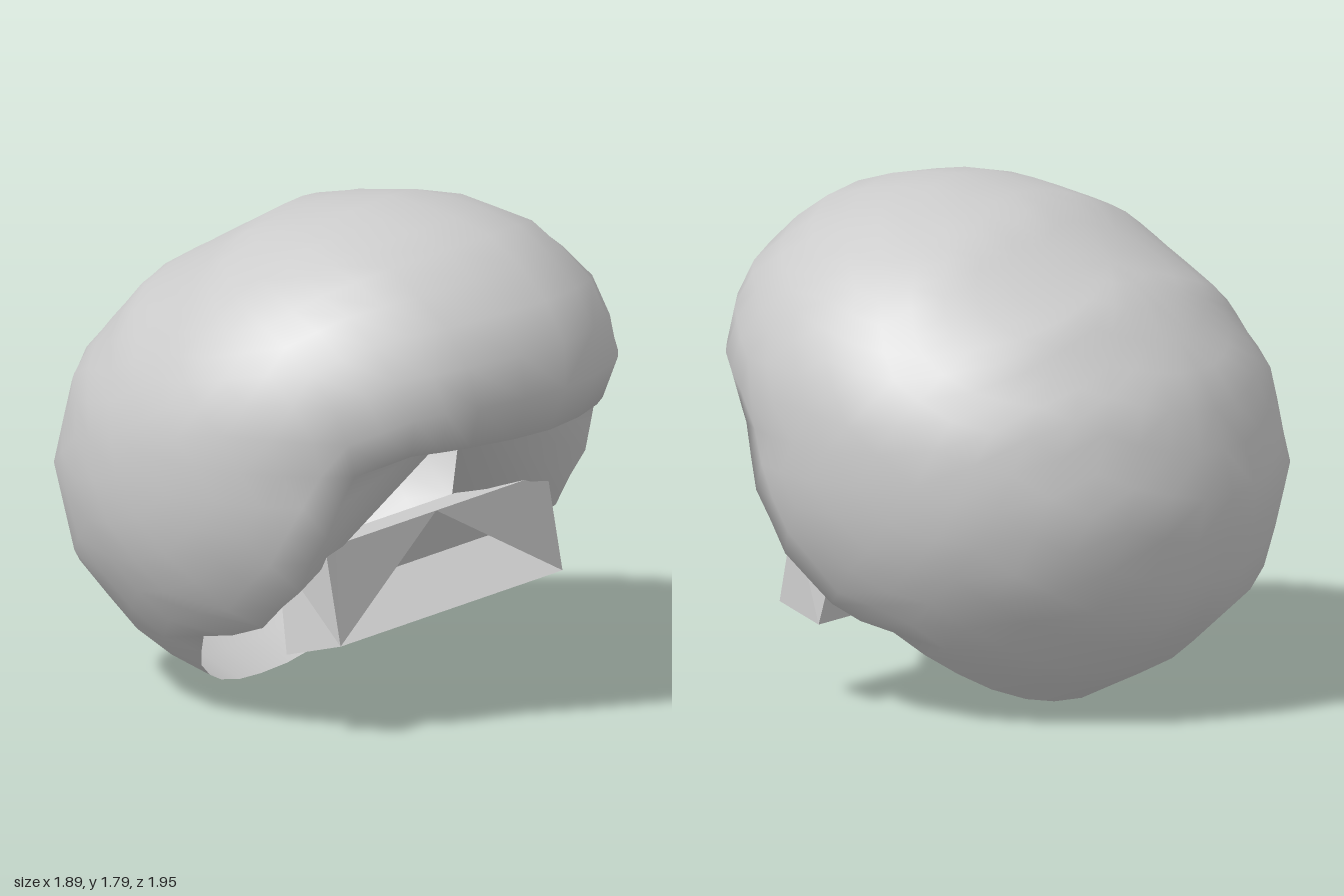
import * as THREE from 'three';
import { mergeVertices } from 'three/addons/utils/BufferGeometryUtils.js';

const material = new THREE.MeshStandardMaterial({ color: 0xcccccc, side: THREE.DoubleSide });
const flatMaterial = new THREE.MeshStandardMaterial({ color: 0xcccccc, side: THREE.DoubleSide, flatShading: true });

const HALF_WIDTH = 0.945;
const CENTRE_Y = 0.97;

// Middle section of the whole dome as [z, y]; the last three close it across the opening
const section = [
  [0.9, 1.05], [1.0, 1.29], [0.85, 1.56], [0.6, 1.73], [0.25, 1.79], [-0.15, 1.73],
  [-0.63, 1.46], [-0.9, 1.16], [-1.0, 0.76], [-0.88, 0.37], [-0.6, 0.13], [-0.33, 0],
  [0.2, 0.04], [0.6, 0.28], [0.85, 0.64],
].map(([z, y]) => [z, y - CENTRE_Y]);

// Rim of the opening seen from the side as [z, y], from brow to nape
const rim = [
  [0.9, 1.05], [0.83, 1.052], [0.72, 1.045], [0.58, 0.98], [0.5, 0.76], [0.38, 0.55],
  [0.2, 0.39], [-0.06, 0.32], [-0.2, 0.16], [-0.3, 0.04], [-0.33, 0],
];

// Distance from the centre to the section along the direction (z, y)
function sectionRadius(z, y) {
  for (let i = 0; i < section.length; i++) {
    const [az, ay] = section[i], [bz, by] = section[(i + 1) % section.length];
    const a = az * y - ay * z, b = bz * y - by * z;
    if (a >= -1e-9 && b <= 1e-9) return (az * by - ay * bz) / (z * (by - ay) - y * (bz - az));
  }
  return 1;
}

// Unit sphere direction to a point on the dome
function domePoint(d) {
  const flat = Math.hypot(d.y, d.z) || 1;
  const r = sectionRadius(d.z / flat, d.y / flat);
  const widen = 1 + 0.06 * Math.max(0, -d.y);
  return [HALF_WIDTH * widen * d.x, CENTRE_Y + r * d.y, r * d.z];
}

// Side view point on the rim to a unit sphere direction
function rimDirection([z, py]) {
  const y = py - CENTRE_Y, len = Math.hypot(z, y);
  const rho = Math.min(1, len / sectionRadius(z / len, y / len));
  return new THREE.Vector3(Math.sqrt(Math.max(0, 1 - rho * rho)), rho * y / len, rho * z / len);
}

// Dome swept from the rim to a pole at the upper back, with panels turning in under the brow
function shellGeometry() {
  const rings = 14, pole = new THREE.Vector3(0, 0.79, -0.61);
  const dirs = rim.map(rimDirection);
  const loop = [];
  dirs.forEach((d, i) => {
    loop.push(d);
    if (i < dirs.length - 1) loop.push(d.clone().add(dirs[i + 1]).normalize());
  });
  const grid = loop.map((d) => {
    const angle = d.angleTo(pole);
    return Array.from({ length: rings + 1 }, (_, r) => {
      const t = r / rings;
      const v = d.clone().multiplyScalar(Math.sin((1 - t) * angle))
        .addScaledVector(pole, Math.sin(t * angle)).normalize();
      return domePoint(v);
    });
  });
  const pos = [];
  const tri = (a, b, c) => {
    pos.push(...a, ...b, ...c);
    for (const [x, y, z] of [a, c, b]) pos.push(-x, y, z);
  };
  for (let k = 0; k < grid.length - 1; k++) {
    for (let r = 0; r < rings; r++) {
      tri(grid[k][r], grid[k + 1][r], grid[k + 1][r + 1]);
      if (r < rings - 1) tri(grid[k][r], grid[k + 1][r + 1], grid[k][r + 1]);
    }
  }
  // Inner panels from the brow down to the lower corner of the opening
  const apex = [0, 1.03, 0.52];
  for (let k = 0; k < 14; k++) tri(apex, grid[k + 1][0], grid[k][0]);

  const g = new THREE.BufferGeometry();
  g.setAttribute('position', new THREE.Float32BufferAttribute(pos, 3));
  const merged = mergeVertices(g, 1e-4);
  merged.computeVertexNormals();
  return merged;
}

// Chin bar: tilted, bevelled at the top corners, with a deep three-cornered recess in front
function chinBarGeometry() {
  const topMid = [0, 0.69, 0.415], frontMid = [0, 0.35, 0.48];
  const backTopMid = [0, 0.64, 0.21], backMid = [0, 0.3, 0.28];
  const top = [0.6, 0.69, 0.415], corner = [0.66, 0.665, 0.42], bottom = [0.66, 0.35, 0.48];
  const backTop = [0.66, 0.64, 0.21], backBottom = [0.7, 0.3, 0.28];
  const groove = [0.6, 0.47, 0.26], grooveMid = [0, 0.47, 0.26];
  const half = [
    [topMid, bottom, corner, top],
    [corner, bottom, backBottom, backTop],
    [top, corner, backTop],
    [topMid, top, backTop, backTopMid],
    [frontMid, backMid, backBottom, bottom],
    [topMid, grooveMid, groove],
    [topMid, groove, bottom],
    [grooveMid, frontMid, bottom, groove],
    [backMid, backTopMid, backTop, backBottom],
  ];
  const pos = [];
  for (const p of [...half, ...half.map((q) => q.map(([x, y, z]) => [-x, y, z]).reverse())])
    for (let i = 1; i < p.length - 1; i++) pos.push(...p[0], ...p[i], ...p[i + 1]);
  const g = new THREE.BufferGeometry();
  g.setAttribute('position', new THREE.Float32BufferAttribute(pos, 3));
  g.computeVertexNormals();
  return g;
}

export function createModel() {
  const group = new THREE.Group();
  const add = (name, geometry, mat) => {
    const mesh = new THREE.Mesh(geometry, mat);
    mesh.name = name;
    group.add(mesh);
  };
  add('helmetShell', shellGeometry(), material);
  add('chinBar', chinBarGeometry(), flatMaterial);
  return group;
}
